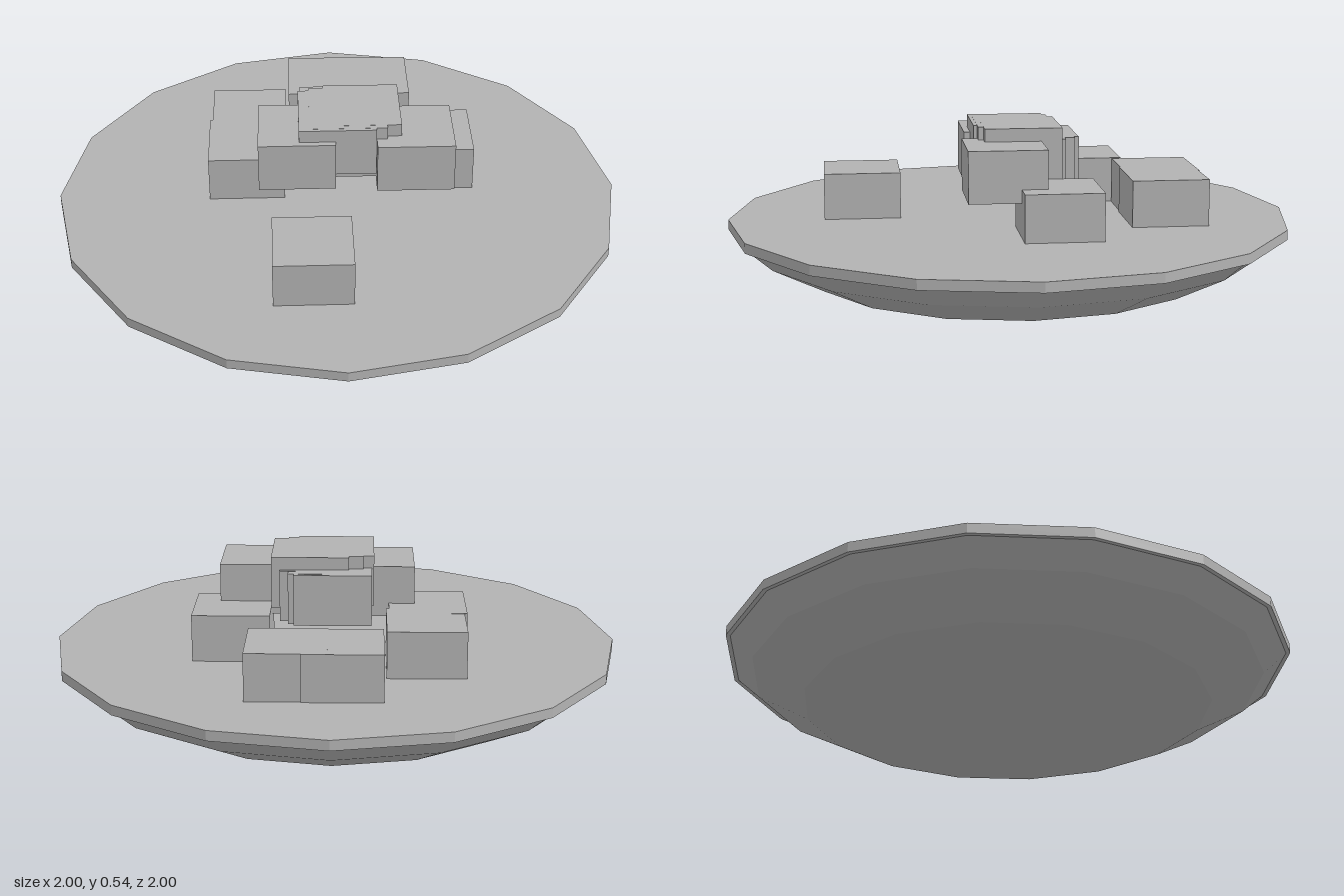
import * as THREE from 'three';

export function createModel() {
  const model = new THREE.Group();
  const grey = new THREE.MeshStandardMaterial({ color: 0xb2b2b2, flatShading: true });
  grey.name = 'plain grey';

  // faceted shapes turned around the y axis, profile listed from bottom to top
  const turned = (name, profile) => {
    const points = profile.map(([r, y]) => new THREE.Vector2(r, y));
    const mesh = new THREE.Mesh(new THREE.LatheGeometry(points, 16), grey);
    mesh.name = name;
    model.add(mesh);
  };
  turned('dishUnderside', [[0, 0], [0.72, 0], [0.905, 0.095], [0.985, 0.165]]);
  turned('dishTop', [[0, 0.165], [1, 0.165], [1, 0.2], [0, 0.2]]);

  // equal blocks, each layer with its top height and block centres [x, z]
  const width = 0.27, height = 0.18;
  const block = new THREE.BoxGeometry(width, height, width);
  const layers = [
    { name: 'lowerBlocks', top: 0.363, centres: [
      [-0.1, 0.525], [-0.035, -0.54], [0.15, -0.535],
      [-0.315, -0.305], [-0.325, -0.095], [0.355, -0.135]] },
    { name: 'middleBlocks', top: 0.498, centres: [
      [-0.145, 0.025], [0.268, 0.045],
      [0.005, -0.097], [0.025, -0.08], [0.055, -0.045]] },
    { name: 'upperBlocks', top: 0.543, centres: [
      [-0.003, 0.003], [0.035, -0.01], [0.085, -0.028]] },
  ];
  for (const { name, top, centres } of layers) {
    const layer = new THREE.Group();
    layer.name = name;
    centres.forEach(([x, z], i) => {
      const mesh = new THREE.Mesh(block, grey);
      mesh.name = 'block';
      // tiny height steps keep overlapping tops from flickering
      mesh.position.set(x, top - height / 2 + i * 0.0004, z);
      layer.add(mesh);
    });
    model.add(layer);
  }
  return model;
}
